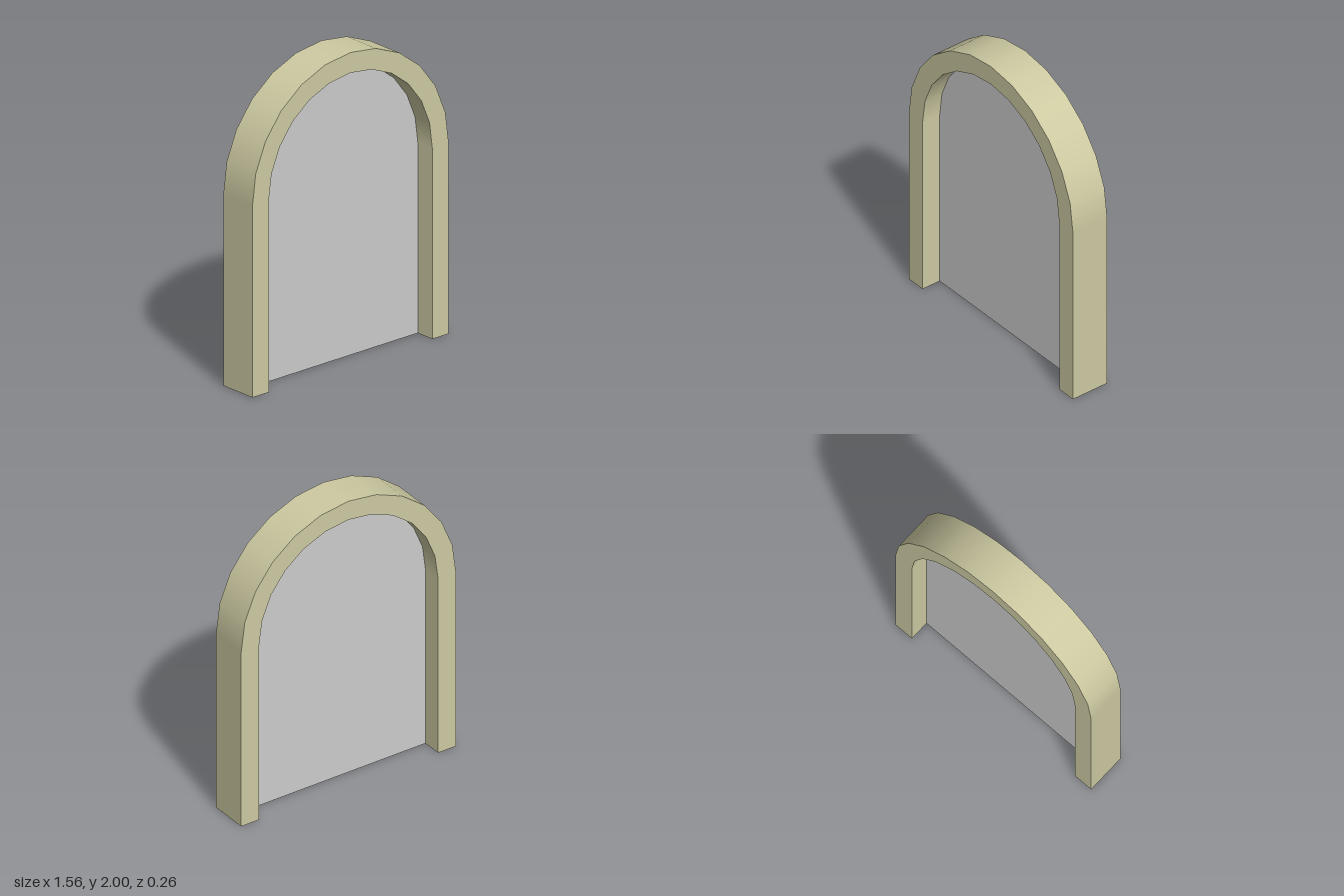
import * as THREE from 'three';

const OUTER = 0.78, INNER = 0.65, SPRING = 1.22, HALF_DEPTH = 0.13, SEGMENTS = 12;

// Arch outline: up the left leg, round the half circle, down the right leg.
function archPath(radius) {
  const points = [{ x: radius, y: 0, nx: 1, ny: 0 }];
  for (let i = 0; i <= SEGMENTS; i++) {
    const a = (Math.PI * i) / SEGMENTS;
    const nx = Math.cos(a), ny = Math.sin(a);
    points.push({ x: radius * nx, y: SPRING + radius * ny, nx, ny });
  }
  points.push({ x: -radius, y: 0, nx: -1, ny: 0 });
  return points;
}

// Ribbon between two outlines; normalOf gives the normal at each outline point.
function ribbon(pathA, zA, pathB, zB, normalOf) {
  const position = [], normal = [], index = [];
  pathA.forEach((p, i) => {
    const q = pathB[i], n = normalOf(p);
    position.push(p.x, p.y, zA, q.x, q.y, zB);
    normal.push(...n, ...n);
    if (i > 0) {
      const k = 2 * (i - 1);
      index.push(k, k + 1, k + 2, k + 1, k + 3, k + 2);
    }
  });
  const geometry = new THREE.BufferGeometry();
  geometry.setAttribute('position', new THREE.Float32BufferAttribute(position, 3));
  geometry.setAttribute('normal', new THREE.Float32BufferAttribute(normal, 3));
  geometry.setIndex(index);
  return geometry;
}

export function createModel() {
  const group = new THREE.Group();
  group.name = 'archway';

  const stone = new THREE.MeshStandardMaterial({ color: 0xcdcaa2, side: THREE.DoubleSide });
  stone.name = 'pale khaki';
  const grey = new THREE.MeshStandardMaterial({ color: 0xcccccc, side: THREE.DoubleSide });
  grey.name = 'light grey';

  const add = (name, geometry, material) => {
    const mesh = new THREE.Mesh(geometry, material);
    mesh.name = name;
    group.add(mesh);
  };

  const outer = archPath(OUTER), inner = archPath(INNER), d = HALF_DEPTH;

  // Hollow frame, open under the feet
  add('frameOuterWall', ribbon(outer, d, outer, -d, p => [p.nx, p.ny, 0]), stone);
  add('frameInnerWall', ribbon(inner, -d, inner, d, p => [-p.nx, -p.ny, 0]), stone);
  add('frameFront', ribbon(inner, d, outer, d, () => [0, 0, 1]), stone);
  add('frameBack', ribbon(outer, -d, inner, -d, () => [0, 0, -1]), stone);

  // Thin pane filling the opening at mid depth
  const opening = new THREE.Shape(inner.map(p => new THREE.Vector2(p.x, p.y)));
  add('pane', new THREE.ShapeGeometry(opening), grey);

  return group;
}
